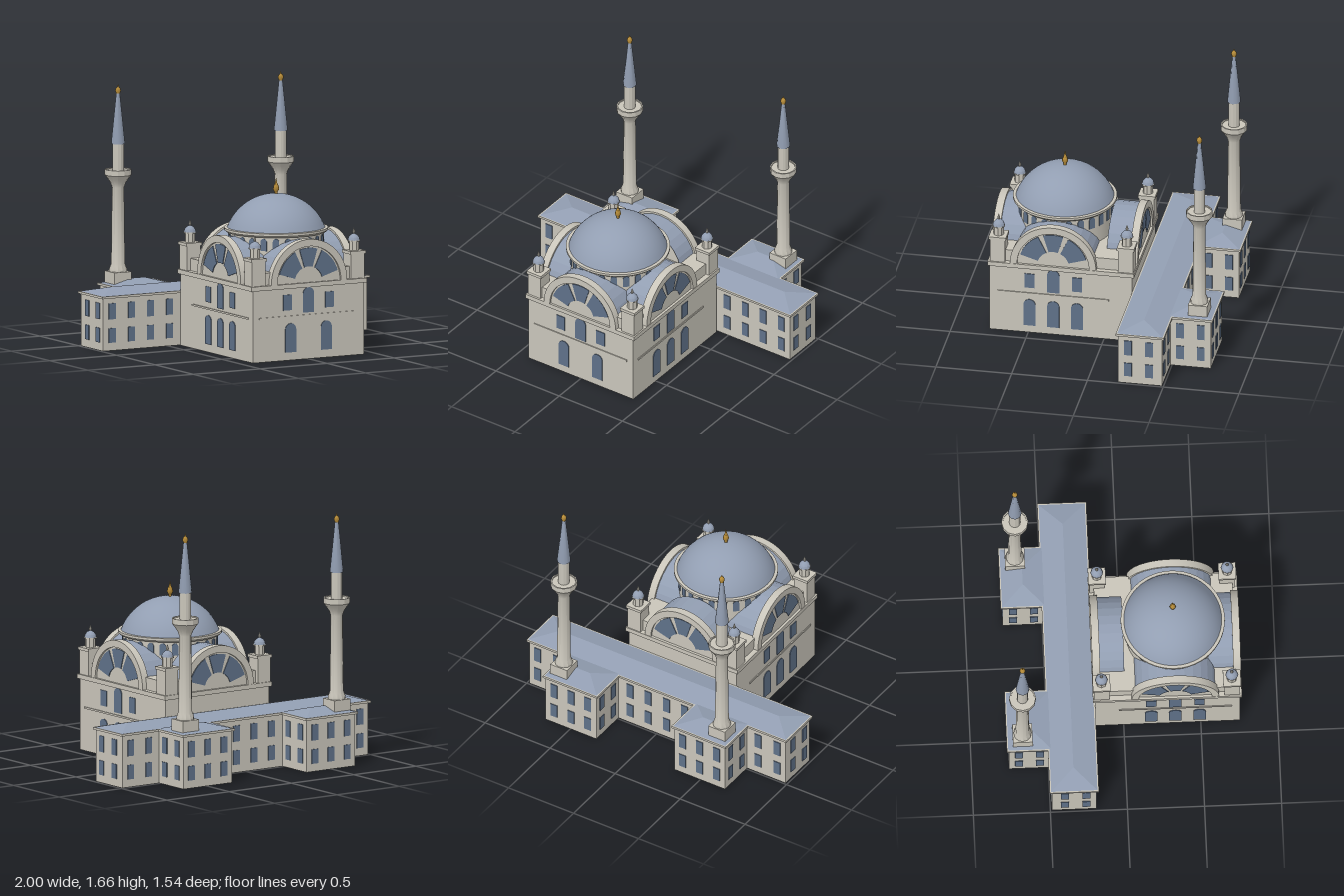
import * as THREE from 'three';
import { toCreasedNormals } from 'three/addons/utils/BufferGeometryUtils.js';

const mat = (name, color, extra = {}) => new THREE.MeshStandardMaterial({ name, color, ...extra });

export function createModel() {
  const stone = mat('stone', 0xc9c5ba, { side: THREE.DoubleSide });
  const lead = mat('leadRoof', 0x929eb2, { side: THREE.DoubleSide });
  const glass = mat('windowBlue', 0x5f7189);
  const gold = mat('gold', 0xb48a38);
  const model = new THREE.Group();
  model.name = 'domedHall';

  const add = (parent, name, geo, material, x = 0, y = 0, z = 0) => {
    const m = new THREE.Mesh(geo, material);
    m.name = name;
    m.position.set(x, y, z);
    parent.add(m);
    return m;
  };
  const group = (parent, name, x = 0, y = 0, z = 0, ry = 0) => {
    const g = new THREE.Group();
    g.name = name;
    g.position.set(x, y, z);
    g.rotation.y = ry;
    parent.add(g);
    return g;
  };
  // box given by its extents, optionally without a floor
  const block = (parent, name, [x0, x1], [y0, y1], [z0, z1], material = stone, open = false) => {
    const g = new THREE.BoxGeometry(x1 - x0, y1 - y0, z1 - z0);
    if (open) g.setIndex([...g.index.array].filter((_, i) => i < 18 || i > 23));
    return add(parent, name, g, material, (x0 + x1) / 2, (y0 + y1) / 2, (z0 + z1) / 2);
  };
  const lathe = (pts, n, crease = 0.6) =>
    toCreasedNormals(new THREE.LatheGeometry(pts.map(p => new THREE.Vector2(...p)), n), crease);
  const plate = (shape, depth = 0.005) =>
    new THREE.ExtrudeGeometry(shape, { depth, bevelEnabled: false, curveSegments: 16 });

  // window plate standing on y = 0, with a flat or a round head
  const windowGeo = (w, h, round) => {
    const s = new THREE.Shape();
    s.moveTo(-w / 2, 0);
    s.lineTo(w / 2, 0);
    if (round) s.absarc(0, h - w / 2, w / 2, 0, Math.PI);
    else s.lineTo(w / 2, h).lineTo(-w / 2, h);
    return plate(s);
  };
  const ring = (r0, r1, a0, a1) => {
    const s = new THREE.Shape();
    s.absarc(0, 0, r1, a0, a1, false);
    s.absarc(0, 0, r0, a1, a0, true);
    return s;
  };

  // ---- main hall ----
  const cz = 0.335;
  const hall = group(model, 'hall');
  block(hall, 'hallWalls', [-0.415, 0.415], [0, 0.48], [-0.185, 0.755], stone, true);
  block(hall, 'hallCornice', [-0.43, 0.43], [0.47, 0.5], [-0.2, 0.767]);
  block(hall, 'upperBlock', [-0.395, 0.395], [0.5, 0.58], [-0.165, 0.735]);

  const deg = Math.PI / 180;
  const facade = (name, x, z, ry, barrelLength) => {
    const f = group(hall, name, x, 0, z, ry);
    const half = new THREE.Shape();
    half.absarc(0, 0, 0.265, 0, Math.PI);
    add(f, 'archWall', plate(half, 0.02), stone, 0, 0.5, -0.022);
    add(f, 'archRim', toCreasedNormals(plate(ring(0.238, 0.284, 0, Math.PI), 0.05), 0.6), stone, 0, 0.5, -0.038);
    const vault = new THREE.CylinderGeometry(0.272, 0.272, barrelLength, 14, 1, true, Math.PI / 2, Math.PI);
    vault.rotateX(Math.PI / 2);
    add(f, 'vaultRoof', toCreasedNormals(vault, 0.1), lead, 0, 0.5, -barrelLength / 2 - 0.01);
    add(f, 'vaultEnd', plate(half, 0.01), stone, 0, 0.5, -barrelLength);
    for (const [a, b] of [[17, 64], [73, 107], [116, 163]])
      add(f, 'fanWindow', plate(ring(0.105, 0.227, a * deg, b * deg)), glass, 0, 0.5, -0.002);
    return f;
  };
  const lightFacade = (f, lower) => {
    for (const x of lower) add(f, 'lowerWindow', windowGeo(0.08, 0.19, true), glass, x, 0.052);
    add(f, 'upperArchedWindow', windowGeo(0.082, 0.165, true), glass, 0, 0.305);
    for (const x of [-0.157, 0.157]) add(f, 'upperWindow', windowGeo(0.066, 0.102), glass, x, 0.328);
    block(f, 'stringCourse', [-0.367, 0.367], [0.279, 0.291], [-0.002, 0.006]);
  };
  lightFacade(facade('frontFacade', 0, 0.755, 0, 0.3), [-0.133, 0.133]);
  lightFacade(facade('leftFacade', 0.415, cz, Math.PI / 2, 0.3), [-0.157, 0, 0.157]);
  lightFacade(facade('rightFacade', -0.415, cz, -Math.PI / 2, 0.3), [-0.157, 0, 0.157]);
  facade('backFacade', 0, -0.185, Math.PI, 0.185);

  // ---- corner turrets ----
  for (const x of [-0.37, 0.37]) for (const z of [-0.143, 0.703]) {
    const t = group(hall, 'cornerTurret', x, 0, z);
    block(t, 'cornerPost', [-0.03, 0.03], [0, 0.5], [-0.03, 0.03], stone, true);
    block(t, 'turretPier', [-0.05, 0.05], [0.5, 0.665], [-0.05, 0.05]);
    block(t, 'turretCap', [-0.057, 0.057], [0.66, 0.68], [-0.057, 0.057]);
    add(t, 'turretDrum', lathe([[0.034, 0.68], [0.034, 0.738], [0.042, 0.738], [0.042, 0.746], [0, 0.746]], 8, 0.3), stone);
    add(t, 'turretDome', lathe([[0.04, 0.745], [0.035, 0.764], [0.022, 0.78], [0.006, 0.788], [0, 0.79]], 12), lead);
    add(t, 'turretFinial', lathe([[0.005, 0.785], [0.01, 0.798], [0.006, 0.81], [0, 0.828]], 8, 1), stone);
  }

  // ---- drum and main dome ----
  const dome = group(model, 'mainDome', 0, 0, cz);
  add(dome, 'drum', lathe([[0.308, 0.5], [0.308, 0.79]], 48), stone);
  add(dome, 'drumCornice', lathe([[0.3, 0.782], [0.325, 0.785], [0.338, 0.797], [0.338, 0.812], [0.3, 0.815]], 48), stone);
  for (let i = 0; i < 24; i++) {
    const a = i * 15 * deg;
    const w = group(dome, 'drumBay', Math.sin(a) * 0.306, 0.695, Math.cos(a) * 0.306, a);
    add(w, 'drumWindow', windowGeo(0.042, 0.08, true), glass);
  }
  const cap = [];
  for (let i = 0; i <= 14; i++) {
    const a = (1 - i / 14) * 69 * deg;
    cap.push([Math.sin(a) * 0.341, 0.69 + Math.cos(a) * 0.341]);
  }
  add(dome, 'domeShell', lathe(cap, 48), lead);
  add(dome, 'domeFinial', lathe([[0.012, 1.02], [0.01, 1.04], [0.02, 1.06], [0.016, 1.08], [0.007, 1.1], [0, 1.135]], 12, 1), gold);

  // ---- rear range with two projecting wings ----
  const hipRoof = (w, d, h) => {
    const r = w - d;
    const p = [[-w, 0, -d], [w, 0, -d], [w, 0, d], [-w, 0, d], [-r, h, 0], [r, h, 0]];
    const faces = [3, 2, 5, 3, 5, 4, 2, 1, 5, 1, 0, 4, 1, 4, 5, 0, 3, 4];
    const g = new THREE.BufferGeometry();
    g.setAttribute('position', new THREE.Float32BufferAttribute(faces.flatMap(i => p[i]), 3));
    g.computeVertexNormals();
    return g;
  };
  const range = (name, [x0, x1], [z0, z1]) => {
    const g = group(model, name), e = 0.014;
    block(g, 'rangeWalls', [x0, x1], [0, 0.35], [z0, z1], stone, true);
    block(g, 'rangeEaves', [x0 - e, x1 + e], [0.343, 0.358], [z0 - e, z1 + e]);
    add(g, 'hipRoof', hipRoof((x1 - x0) / 2 + e * 0.6, (z1 - z0) / 2 + e * 0.6, 0.038), lead,
      (x0 + x1) / 2, 0.357, (z0 + z1) / 2);
  };
  const windowRows = (x, z, ry, offsets) => {
    const g = group(model, 'rangeWindows', x, 0, z, ry);
    for (const o of offsets) {
      add(g, 'lowerRangeWindow', windowGeo(0.051, 0.095), glass, o, 0.052);
      add(g, 'upperRangeWindow', windowGeo(0.051, 0.105), glass, o, 0.205);
    }
  };
  range('rearRange', [-0.986, 0.986], [-0.49, -0.199]);
  windowRows(0, -0.49, Math.PI, [-0.92, -0.775, -0.21, -0.07, 0.07, 0.21, 0.775, 0.92]);
  windowRows(0, -0.199, 0, [-0.92, -0.775, -0.635, -0.492, 0.492, 0.635, 0.775, 0.92]);
  for (const s of [-1, 1]) {
    const ry = s * Math.PI / 2;
    const [a, b] = [0.3, 0.69];
    range('projectingWing', s > 0 ? [a, b] : [-b, -a], [-0.756, -0.485]);
    windowRows(s * 0.986, -0.335, ry, [-0.07, 0.07]);
    windowRows(s * b, -0.622, ry, [-0.068, 0.068]);
    windowRows(s * a, -0.622, -ry, [-0.068, 0.068]);
    windowRows(s * 0.495, -0.756, Math.PI, [-0.13, 0, 0.13]);

    // ---- minaret ----
    const m = group(model, 'minaret', s * 0.608, 0, -0.665);
    block(m, 'minaretBase', [-0.064, 0.064], [0.345, 0.44], [-0.064, 0.064]);
    add(m, 'minaretShaft', lathe([[0.058, 0.44], [0.058, 0.455], [0.045, 0.49], [0.039, 0.99], [0.05, 1.02], [0.07, 1.05],
      [0.087, 1.072], [0.087, 1.108], [0.078, 1.108], [0.078, 1.1], [0.037, 1.1], [0.037, 1.28]], 12, 0.4), stone);
    add(m, 'minaretSpire', lathe([[0, 1.275], [0.044, 1.275], [0.044, 1.285], [0.012, 1.605], [0, 1.61]], 12), lead);
    add(m, 'minaretFinial', lathe([[0.01, 1.598], [0.019, 1.622], [0.015, 1.638], [0.006, 1.645], [0, 1.665]], 10, 1), gold);
  }
  return model;
}
